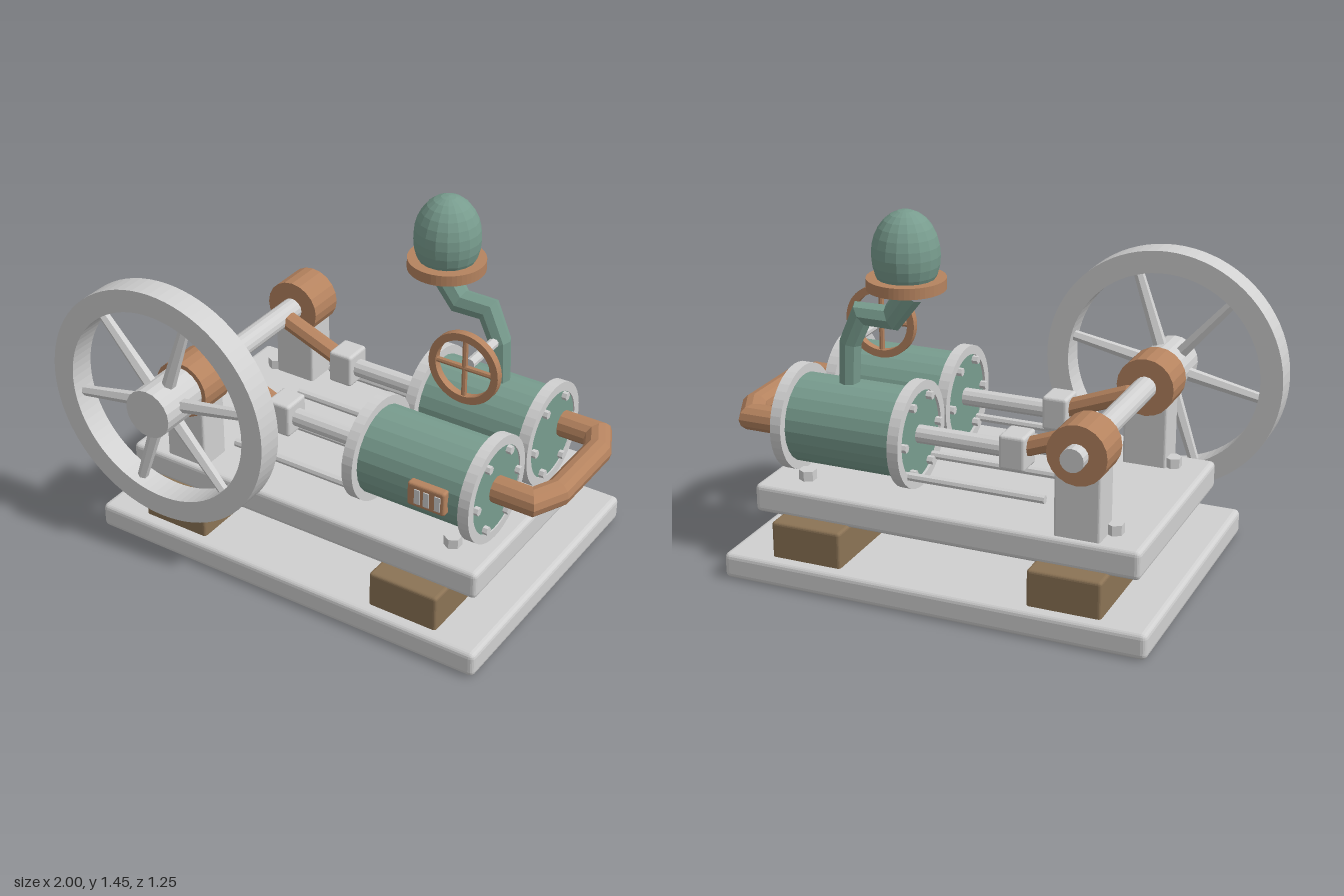
import * as THREE from 'three';
import { RoundedBoxGeometry } from 'three/addons/geometries/RoundedBoxGeometry.js';

const paint = (name, color) => Object.assign(new THREE.MeshStandardMaterial({ color }), { name });

export function createModel() {
  const steel = paint('pale steel', 0xd0d0d0);
  const copper = paint('copper', 0xb5835f);
  const green = paint('boiler green', 0x789c8e);
  const wood = paint('timber brown', 0x8b7355);
  const model = new THREE.Group();
  model.name = 'twinCylinderSteamEngine';
  const V = (x, y, z) => new THREE.Vector3(x, y, z);

  // faceted mesh
  const add = (name, geometry, material, parent = model) => {
    const g = geometry.index ? geometry.toNonIndexed() : geometry;
    g.computeVertexNormals();
    const mesh = new THREE.Mesh(g, material);
    mesh.name = name;
    parent.add(mesh);
    return mesh;
  };

  // rounded box from its limits on each axis
  const box = (name, [x0, x1], [y0, y1], [z0, z1], r, material, parent) => {
    const m = add(name, new RoundedBoxGeometry(x1 - x0, y1 - y0, z1 - z0, 2, r), material, parent);
    m.position.set((x0 + x1) / 2, (y0 + y1) / 2, (z0 + z1) / 2);
    return m;
  };

  // round bar between two points
  const bar = (name, a, b, r, material, sides = 12, parent = model, rEnd = r) => {
    const d = b.clone().sub(a);
    const m = add(name, new THREE.CylinderGeometry(rEnd, r, d.length(), sides), material, parent);
    m.position.copy(a).add(b).multiplyScalar(0.5);
    m.quaternion.setFromUnitVectors(V(0, 1, 0), d.normalize());
    return m;
  };

  // flat ring extruded along z, centred on its own origin
  const ring = (name, outer, inner, depth, material, sides, parent = model) => {
    const shape = new THREE.Shape().absarc(0, 0, outer, 0, Math.PI * 2);
    shape.holes.push(new THREE.Path().absarc(0, 0, inner, 0, Math.PI * 2, true));
    const g = new THREE.ExtrudeGeometry(shape, { depth, bevelEnabled: false, curveSegments: sides });
    return add(name, g.translate(0, 0, -depth / 2), material, parent);
  };

  // mitred pipe along a path lying in the plane with the given normal
  const pipe = (name, path, radii, planeNormal, sides, material) => {
    const pos = [], index = [];
    path.forEach((p, i) => {
      const before = p.clone().sub(path[Math.max(i - 1, 0)]).normalize();
      const after = path[Math.min(i + 1, path.length - 1)].clone().sub(p).normalize();
      const t = before.clone().add(after).normalize();
      const mitre = 1 / t.dot(i ? before : after);
      const side = t.clone().cross(planeNormal).multiplyScalar(mitre);
      for (let j = 0; j < sides; j++) {
        const a = (j / sides) * Math.PI * 2;
        const q = p.clone().addScaledVector(side, Math.cos(a) * radii[i])
          .addScaledVector(planeNormal, -Math.sin(a) * radii[i]);
        pos.push(q.x, q.y, q.z);
        if (i) {
          const k = (j + 1) % sides, r0 = (i - 1) * sides, r1 = i * sides;
          index.push(r0 + j, r0 + k, r1 + j, r0 + k, r1 + k, r1 + j);
        }
      }
    });
    const g = new THREE.BufferGeometry();
    g.setAttribute('position', new THREE.Float32BufferAttribute(pos, 3));
    g.setIndex(index);
    // turn the faces outward if the winding came out reversed
    const [a, b, c] = [index[0], index[1], index[2]].map((n) => V(pos[3 * n], pos[3 * n + 1], pos[3 * n + 2]));
    const n = b.clone().sub(a).cross(c.clone().sub(a));
    if (n.dot(a.clone().sub(path[0])) < 0) {
      g.setIndex(index.map((_, i) => index[i - (i % 3) + 2 - (i % 3)]));
    }
    return add(name, g, material);
  };

  // plinth, timber sleepers and bed plate
  box('plinth', [-0.835, 0.885], [0, 0.105], [-0.625, 0.56], 0.022, steel);
  for (const x of [-0.645, 0.405]) box('sleeper', [x, x + 0.29], [0.09, 0.25], [-0.575, 0.51], 0.012, wood);
  box('bedPlate', [-0.76, 0.81], [0.24, 0.355], [-0.495, 0.43], 0.02, steel);
  for (const x of [-0.62, 0.645]) {
    for (const z of [-0.365, 0.31]) bar('bedBolt', V(x, 0.34, z), V(x, 0.395, z), 0.035, steel, 6);
  }

  // crankshaft with its two bearings
  const cx = -0.51, cy = 0.685;
  bar('crankshaft', V(cx, cy, -0.535), V(cx, cy, 0.5), 0.046, steel, 16);
  for (const [z0, z1] of [[-0.485, -0.33], [0.262, 0.418]]) {
    bar('bearing', V(cx, cy, z0), V(cx, cy, z1), 0.117, copper, 20);
    box('bearingPost', [-0.6, -0.42], [0.34, 0.64], [z0 + 0.01, z1 - 0.01], 0.01, steel);
  }

  // flywheel
  const flywheel = new THREE.Group();
  flywheel.name = 'flywheel';
  flywheel.position.set(cx, cy, 0.527);
  model.add(flywheel);
  ring('flywheelRim', 0.493, 0.402, 0.106, steel, 40, flywheel);
  bar('flywheelHub', V(0, 0, -0.107), V(0, 0, 0.1), 0.1, steel, 20, flywheel);
  for (let i = 0; i < 6; i++) {
    const a = 0.2 + (i * Math.PI) / 3, d = V(Math.cos(a), Math.sin(a), 0);
    bar('flywheelSpoke', d.clone().multiplyScalar(0.07), d.clone().multiplyScalar(0.415), 0.028, steel, 6, flywheel, 0.021);
  }

  // the two cylinders with their running gear
  const yc = 0.566;
  for (const z of [0.184, -0.25]) {
    const unit = new THREE.Group();
    unit.name = 'cylinderUnit';
    unit.position.set(0, yc, z);
    model.add(unit);
    bar('cylinderBody', V(0.22, 0, 0), V(0.745, 0, 0), 0.176, green, 24, unit);
    for (const [x, out] of [[0.232, -1], [0.728, 1]]) {
      const flange = ring('cylinderFlange', 0.211, 0.174, 0.045, steel, 20, unit);
      flange.rotation.y = Math.PI / 2;
      flange.position.x = x;
      for (let i = 0; i < 6; i++) {
        const a = (i * Math.PI) / 3, y = Math.sin(a) * 0.155, w = Math.cos(a) * 0.155;
        bar('flangeBolt', V(x, y, w), V(x + out * 0.037, y, w), 0.017, steel, 6, unit);
      }
    }
    bar('pistonRod', V(-0.15, 0.002, 0), V(0.23, 0.002, 0), 0.036, steel, 12, unit);
    for (const w of [-0.115, 0.115]) bar('guideRod', V(-0.345, -0.128, w), V(0.23, -0.128, w), 0.017, steel, 8, unit);
    box('crosshead', [-0.237, -0.133], [-0.064, 0.074], [-0.06, 0.06], 0.012, steel, unit);
    bar('connectingRod', V(-0.475, 0.115, 0), V(-0.2, 0.01, 0), 0.038, copper, 8, unit);
  }

  // slotted plate on the front cylinder
  box('ventPlate', [0.487, 0.645], [0.52, 0.62], [0.345, 0.385], 0.01, copper);
  for (const x of [0.532, 0.57, 0.617]) {
    add('ventSlot', new THREE.BoxGeometry(0.024, 0.062, 0.006), steel).position.set(x, 0.569, 0.386);
  }

  // pipe joining the cylinder ends
  pipe('crossoverPipe', [V(0.74, yc, 0.18), V(0.895, yc, 0.18), V(0.943, yc, 0.08),
    V(0.943, yc, -0.24), V(0.895, yc, -0.34), V(0.74, yc, -0.34)],
  Array(6).fill(0.053), V(0, 1, 0), 12, copper);

  // steam pipe, collar and dome above the rear cylinder
  pipe('steamPipe', [V(0.512, 0.71, -0.25), V(0.503, 0.9, -0.25), V(0.45, 1.02, -0.25),
    V(0.325, 1.02, -0.25), V(0.245, 1.13, -0.25)],
  [0.042, 0.044, 0.046, 0.048, 0.054], V(0, 0, 1), 8, green);
  const collar = ring('domeCollar', 0.151, 0.105, 0.043, copper, 24);
  collar.rotation.x = Math.PI / 2;
  collar.position.set(0.262, 1.166, -0.25);
  const dome = add('steamDome', new THREE.SphereGeometry(0.13, 18, 14), green);
  dome.scale.y = 0.17 / 0.13;
  dome.position.set(0.262, 1.275, -0.25);

  // valve handwheel and stem
  const wheel = new THREE.Group();
  wheel.name = 'valveWheel';
  wheel.position.set(0.495, 0.908, 0);
  model.add(wheel);
  ring('valveWheelRim', 0.147, 0.117, 0.03, copper, 28, wheel);
  bar('valveWheelSpoke', V(-0.13, 0, 0), V(0.13, 0, 0), 0.011, copper, 8, wheel);
  bar('valveWheelSpoke', V(0, -0.13, 0), V(0, 0.13, 0), 0.011, copper, 8, wheel);
  bar('valveStem', V(0.497, 0.908, -0.24), V(0.497, 0.908, -0.03), 0.021, steel, 10);
  return model;
}
